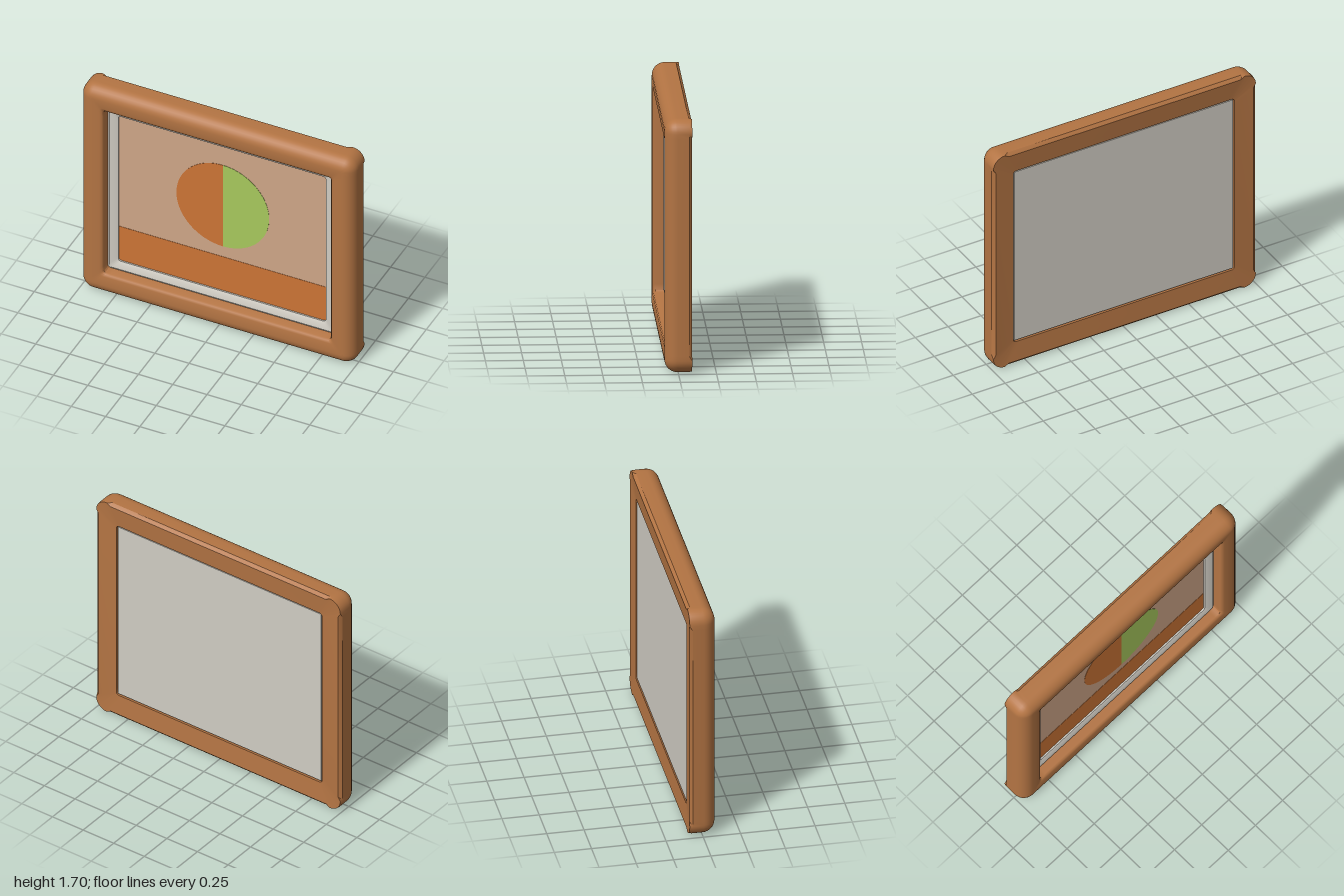
import * as THREE from 'three';
import { mergeVertices, toCreasedNormals } from 'three/addons/utils/BufferGeometryUtils.js';

const CY = 0.853; // centre height of the picture opening

// Rounded rectangle ring; dip pulls the straight edges inward but keeps the corners
function ring(hw, hh, r, z, { cy = 0.85, dip = 0, n = 8 } = {}) {
  const pts = [];
  for (let q = 0; q < 4; q++) {
    const sx = q === 0 || q === 3 ? 1 : -1, sy = q < 2 ? 1 : -1;
    const cx = sx * (hw - r), cyy = cy + sy * (hh - r);
    const start = q * Math.PI / 2, lead = 0.03;
    const dir = a => [Math.cos(a), Math.sin(a)];
    const [ax, ay] = dir(start), [bx, by] = dir(start + Math.PI / 2);
    pts.push([cx + ax * (r - dip) - bx * lead, cyy + ay * (r - dip) - by * lead, z]);
    for (let i = 0; i <= n; i++) {
      const [c, s] = dir(start + i / n * Math.PI / 2);
      pts.push([cx + c * r, cyy + s * r, z]);
    }
    pts.push([cx + bx * (r - dip) - ax * lead, cyy + by * (r - dip) - ay * lead, z]);
  }
  return pts;
}

// Skin a closed loop of rings
function loft(rings, crease = 0.7) {
  const m = rings[0].length, index = [];
  for (let i = 0; i < rings.length; i++) {
    const k = (i + 1) % rings.length;
    for (let j = 0; j < m; j++) {
      const l = (j + 1) % m;
      index.push(i * m + j, i * m + l, k * m + l, i * m + j, k * m + l, k * m + j);
    }
  }
  const g = new THREE.BufferGeometry();
  g.setAttribute('position', new THREE.Float32BufferAttribute(rings.flat(2), 3));
  g.setIndex(index);
  return toCreasedNormals(mergeVertices(g), crease);
}

export function createModel() {
  const group = new THREE.Group();
  const mat = (name, color) => {
    const m = new THREE.MeshStandardMaterial({ color });
    m.name = name;
    return m;
  };
  const wood = mat('wood', 0xb37443);
  const grey = mat('warm grey', 0xd0ccc3);
  const tan = mat('tan', 0xcfa688);
  const orange = mat('orange', 0xcc7435);
  const green = mat('lime green', 0xa7c95d);

  const add = (name, geometry, material, x = 0, y = 0, z = 0) => {
    const mesh = new THREE.Mesh(geometry, material);
    mesh.name = name;
    mesh.position.set(x, y, z);
    group.add(mesh);
    return mesh;
  };

  // Wooden frame: back rim with notched edges, rounded front, straight inner wall
  const outer = (d, z, dip = 0) => ring(1 - d, 0.85 - d, Math.max(0.09 - d, 0.02), z, { dip });
  const inner = (hw, z) => ring(hw, hw - 0.155, 0.02, z, { cy: CY });
  const frameRings = [outer(0.003, -0.09, 0.018), outer(0, -0.07)];
  for (let i = 0; i <= 8; i++) {
    const a = i / 8 * Math.PI / 2;
    frameRings.push(outer(0.085 * (1 - Math.cos(a)), 0.005 + 0.085 * Math.sin(a)));
  }
  frameRings.push(
    inner(0.855, 0.087), inner(0.838, 0.082), inner(0.83, 0.07),
    inner(0.83, -0.06), inner(0.84, -0.06), inner(0.84, -0.08));
  add('frame', loft(frameRings), wood);

  // Pale inner border, sloping gently toward the picture
  const border = (hw, hh, r, z) => ring(hw, hh, r, z, { cy: CY });
  add('innerBorder', loft([
    border(0.828, 0.673, 0.02, -0.03), border(0.828, 0.673, 0.02, 0.008),
    border(0.815, 0.66, 0.02, 0.016), border(0.775, 0.62, 0.02, 0.009),
    border(0.757, 0.603, 0.02, 0), border(0.757, 0.603, 0.02, -0.03)], 0.5), grey);

  // Back panel
  add('backPanel', new THREE.BoxGeometry(1.66, 1.35, 0.055), grey, 0, CY, -0.0475);

  // Picture: background, lower band and two-tone disc
  add('pictureBackground', new THREE.BoxGeometry(1.53, 1.22, 0.006), tan, 0, CY, -0.016);
  add('pictureBand', new THREE.BoxGeometry(1.53, 0.287, 0.006), orange, 0, 0.3865, -0.014);
  const halfDisc = start => {
    const s = new THREE.Shape();
    s.absarc(0, 0, 0.338, start, start + Math.PI, false);
    s.closePath();
    return new THREE.ExtrudeGeometry(s, { depth: 0.004, bevelEnabled: false, curveSegments: 28 });
  };
  add('discLeftHalf', halfDisc(Math.PI / 2), orange, 0, 0.955, -0.015);
  add('discRightHalf', halfDisc(-Math.PI / 2), green, 0, 0.955, -0.015);
  return group;
}
